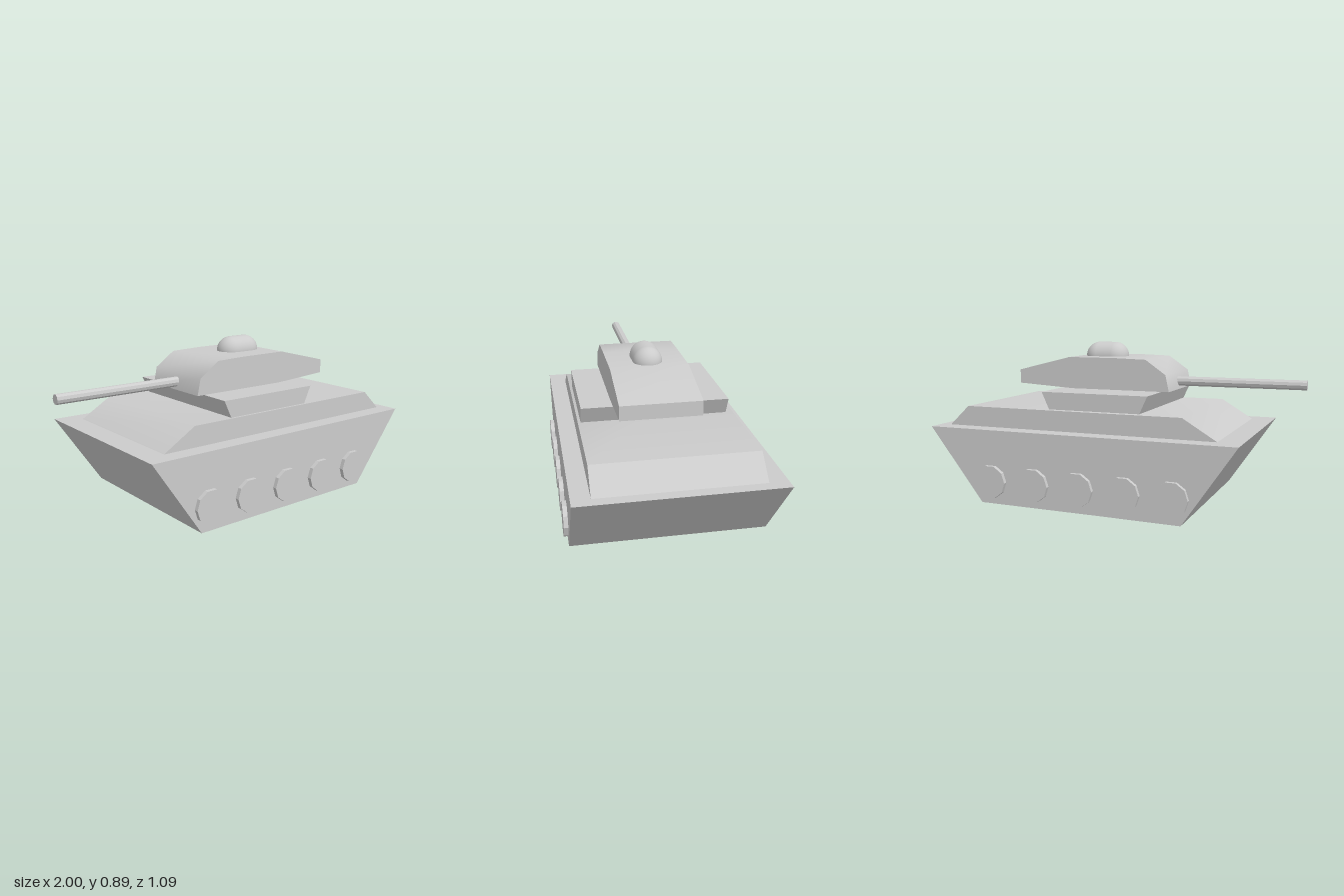
import * as THREE from 'three';
import { toCreasedNormals } from 'three/addons/utils/BufferGeometryUtils.js';

const material = new THREE.MeshStandardMaterial({ color: 0xcccccc });

export function createModel() {
  const group = new THREE.Group();

  const add = (name, geometry, x = 0, y = 0, z = 0) => {
    const mesh = new THREE.Mesh(geometry, material);
    mesh.name = name;
    mesh.position.set(x, y, z);
    group.add(mesh);
    return mesh;
  };

  // Side profile (x, y) extruded across the vehicle from zBack to zFront
  const slab = (name, points, zBack, zFront, crease = 0.6) => {
    const shape = new THREE.Shape(points.map(([x, y]) => new THREE.Vector2(x, y)));
    const geometry = new THREE.ExtrudeGeometry(shape, { depth: zFront - zBack, bevelEnabled: false });
    add(name, toCreasedNormals(geometry, crease), 0, 0, zBack);
  };

  // Armoured body, stacked from the ground up
  slab('hull', [[-0.475, 0], [0, 0.005], [0.68, 0.01], [1, 0.42], [-0.76, 0.42]], -0.52, 0.52);
  slab('upperDeck', [[-0.63, 0.42], [0.94, 0.42], [0.82, 0.532], [-0.445, 0.532]], -0.42, 0.425);
  slab('turretBase', [[-0.2, 0.53], [0.325, 0.53], [0.37, 0.627], [-0.245, 0.627]], -0.38, 0.41);
  slab('turret', [
    [-0.295, 0.63], [0.28, 0.63], [0.617, 0.65], [0.617, 0.728],
    [0.3, 0.807], [0.02, 0.807], [-0.16, 0.802], [-0.275, 0.722],
  ], -0.175, 0.245, 0.75);

  // Rounded hatch, its lower half sunk into the turret
  const hatch = new THREE.CapsuleGeometry(0.08, 0.095, 10, 28).rotateZ(Math.PI / 2);
  add('hatch', hatch, 0.148, 0.808, 0.03);

  // Gun barrel
  const barrel = new THREE.CylinderGeometry(0.027, 0.027, 0.76, 10).rotateZ(Math.PI / 2);
  add('gunBarrel', toCreasedNormals(barrel, 0.5), -0.62, 0.673, 0.035);

  // Five ten-sided road wheels on each side
  const wheel = toCreasedNormals(
    new THREE.CylinderGeometry(0.0925, 0.0925, 0.06, 10, 1, false, Math.PI / 10).rotateX(Math.PI / 2), 0.5);
  for (const side of [-1, 1]) {
    for (let i = 0; i < 5; i++) {
      add('roadWheel', wheel, -0.425 + i * 0.26, 0.135, side * 0.513);
    }
  }

  return group;
}
